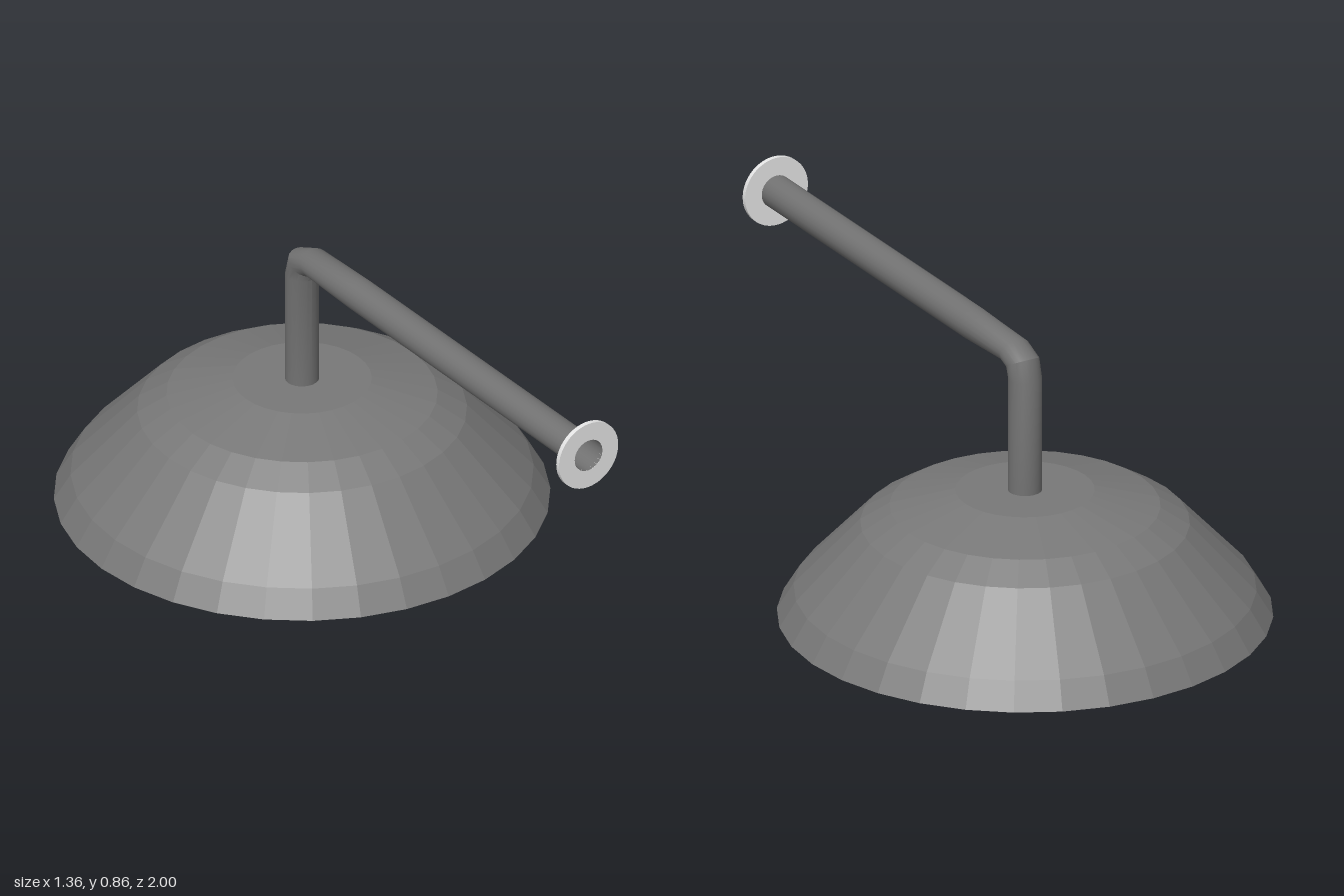
import * as THREE from 'three';
import { toCreasedNormals } from 'three/addons/utils/BufferGeometryUtils.js';

const material = (name, color, side = THREE.FrontSide) => {
  const m = new THREE.MeshStandardMaterial({ color, side });
  m.name = name;
  return m;
};

// Tube through elliptical rings; each ring is given by its outer and inner [z, y] points
function ringTube(rings, halfWidth, sides) {
  const pos = [], index = [];
  rings.forEach(([oz, oy, iz, iy], r) => {
    for (let i = 0; i < sides; i++) {
      const a = (i / sides) * Math.PI * 2, t = (1 + Math.cos(a)) / 2;
      pos.push(halfWidth * Math.sin(a), iy + (oy - iy) * t, iz + (oz - iz) * t);
      if (r === 0) continue;
      const j = (i + 1) % sides, p = (r - 1) * sides, q = r * sides;
      index.push(p + i, p + j, q + j, p + i, q + j, q + i);
    }
  });
  const g = new THREE.BufferGeometry();
  g.setAttribute('position', new THREE.Float32BufferAttribute(pos, 3));
  g.setIndex(index);
  return toCreasedNormals(g, 0.5);
}

export function createModel() {
  const group = new THREE.Group();
  const shadeGrey = material('shade grey', 0x787878);
  const rimGrey = material('rim grey', 0xaaaaaa);
  shadeGrey.flatShading = rimGrey.flatShading = true;
  const pipeGrey = material('pipe grey', 0x727272, THREE.DoubleSide);
  const plateGrey = material('plate light grey', 0xe4e4e4);
  const panelGrey = material('panel dark grey', 0x686868);
  const add = (name, geometry, mat) => {
    const mesh = new THREE.Mesh(geometry, mat);
    mesh.name = name;
    group.add(mesh);
    return mesh;
  };
  const R = 0.6775, Z = R - 1, SIDES = 32, PIPE_Y = 0.76;
  const lathe = (points) =>
    new THREE.LatheGeometry(points.map(([x, y]) => new THREE.Vector2(x, y)), SIDES);

  // Faceted dome
  add('shade', lathe([
    [R, 0], [0.632, 0.075], [0.45, 0.27], [0.37, 0.32], [0.19, 0.367], [0, 0.367],
  ]), shadeGrey).position.z = Z;

  // Flat rim and the wall of the shallow recess inside it
  add('rim', lathe([[0.625, 0.02], [0.625, 0], [R, 0]]), rimGrey).position.z = Z;

  // Dark panel closing the underside
  const panel = add('undersidePanel', new THREE.CircleGeometry(0.626, SIDES), panelGrey);
  panel.rotation.x = Math.PI / 2;
  panel.position.set(0, 0.018, Z);

  // Bent hollow pipe from the wall plate down to the shade
  add('pipe', ringTube([
    [1, 0.807, 1, 0.713],
    [-0.05, 0.807, -0.05, 0.713],
    [-0.28, 0.797, -0.25, 0.724],
    [-0.352, 0.765, -0.268, 0.718],
    [-0.369, 0.7, -0.276, 0.7],
    [-0.369, 0.36, -0.276, 0.36],
  ], 0.047, 20), pipeGrey);

  // Round wall plate with a hole for the pipe
  const plate = new THREE.Shape().absarc(0, 0, 0.1, 0, Math.PI * 2);
  plate.holes.push(new THREE.Path().absarc(0, 0, 0.047, 0, Math.PI * 2, true));
  add('wallPlate', new THREE.ExtrudeGeometry(plate, { depth: 0.013, bevelEnabled: false, curveSegments: 32 }),
    plateGrey).position.set(0, PIPE_Y, 0.987);

  return group;
}
